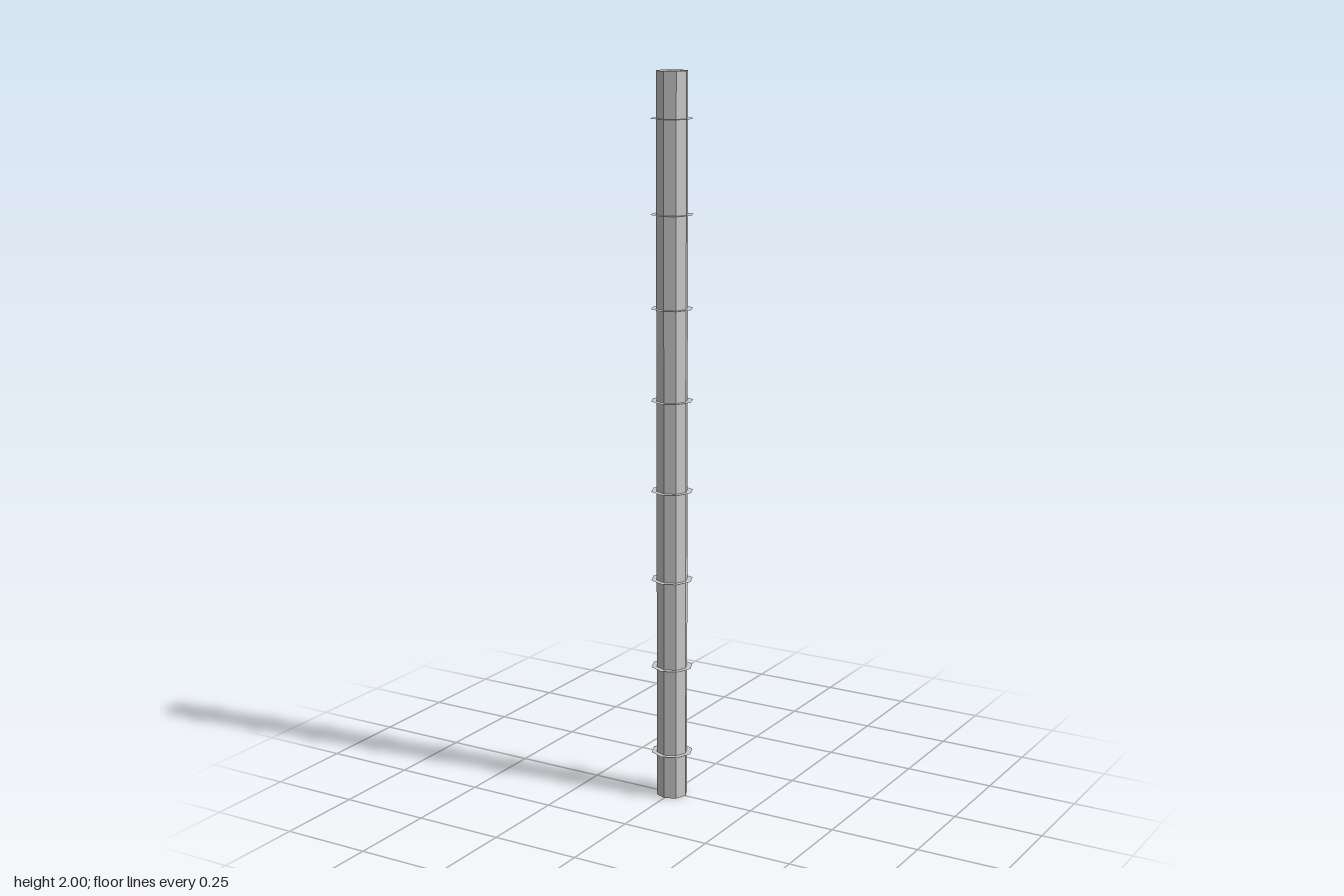
import * as THREE from 'three';

const SIDES = 8;
const TUBE_RADIUS = 0.0433;
const RING_RADIUS = 0.0585;
const HEIGHT = 2;
const RING_COUNT = 8;

export function createModel() {
  const model = new THREE.Group();
  model.name = 'ringedPole';
  const material = new THREE.MeshStandardMaterial({
    color: 0xcccccc, flatShading: true, side: THREE.DoubleSide,
  });

  // Hollow octagonal tube, open at both ends
  const tube = new THREE.Mesh(
    new THREE.CylinderGeometry(TUBE_RADIUS, TUBE_RADIUS, HEIGHT, SIDES, 1, true), material);
  tube.name = 'tube';
  tube.position.y = HEIGHT / 2;
  model.add(tube);

  // Thin flat collars spaced evenly along the tube
  const ringGeometry = new THREE.RingGeometry(TUBE_RADIUS, RING_RADIUS, SIDES).rotateX(-Math.PI / 2);
  const spacing = HEIGHT / RING_COUNT;
  for (let i = 0; i < RING_COUNT; i++) {
    const ring = new THREE.Mesh(ringGeometry, material);
    ring.name = `collar${i + 1}`;
    ring.position.y = 0.127 + i * spacing;
    model.add(ring);
  }
  return model;
}
